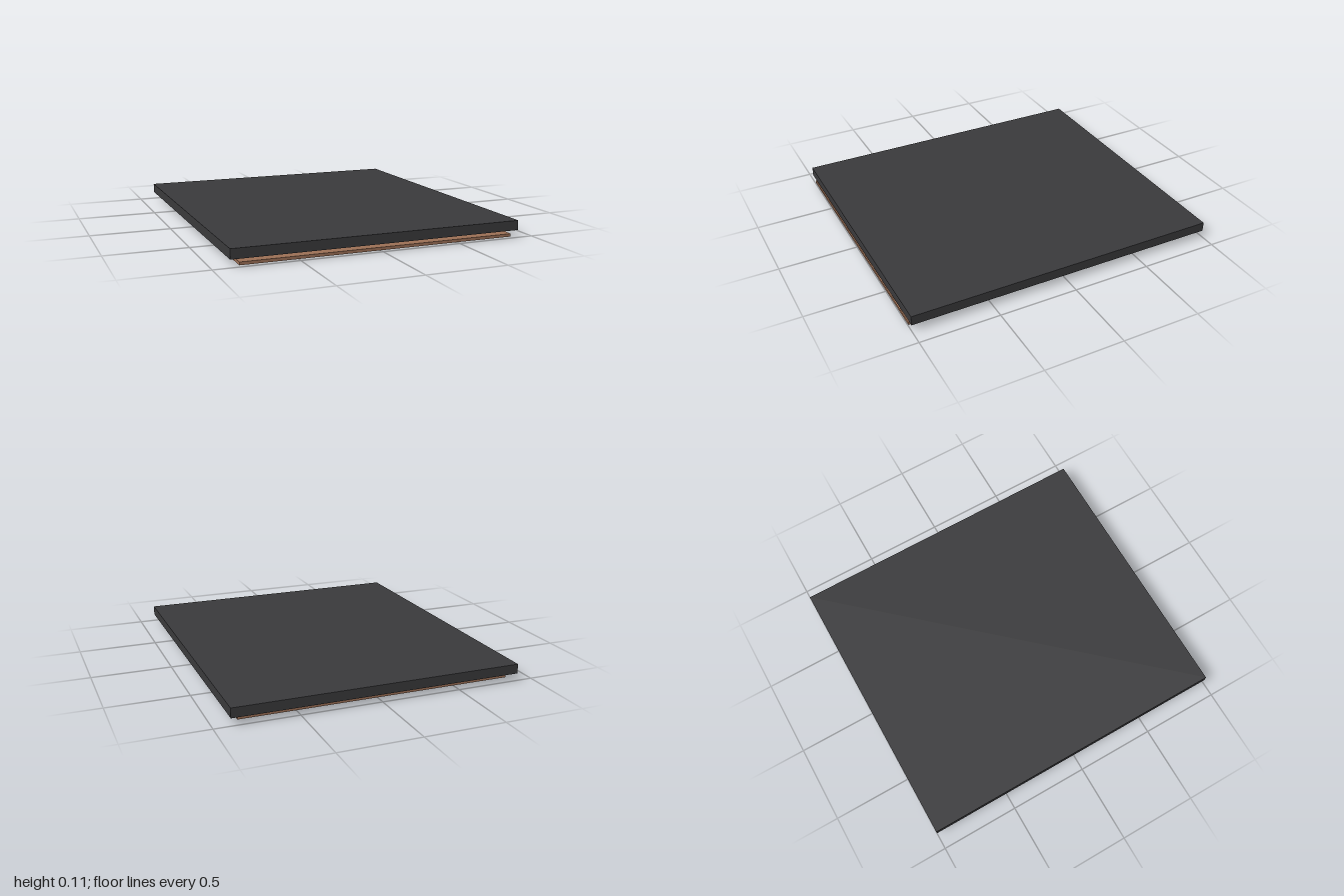
import * as THREE from 'three';

const material = (color) => new THREE.MeshStandardMaterial({ color });

function addMesh(parent, name, geometry, mat, x = 0, y = 0, z = 0) {
  const mesh = new THREE.Mesh(geometry, mat);
  mesh.name = name;
  mesh.position.set(x, y, z);
  parent.add(mesh);
  return mesh;
}

// Rectangle outline centred on the origin
function rectangle(PathType, w, d) {
  return new PathType([
    [-w / 2, -d / 2], [w / 2, -d / 2], [w / 2, d / 2], [-w / 2, d / 2],
  ].map(([x, y]) => new THREE.Vector2(x, y)));
}

export function createModel() {
  const model = new THREE.Group();
  model.name = 'ceilingPanel';
  const dark = material(0x3a3a3c);
  const wood = material(0x9c7056);
  const diffuserWhite = material(0xe0d8c8);
  const metal = material(0x77797c);
  const lensGrey = material(0xa8acb0);

  // Upper slab
  addMesh(model, 'ceilingSlab', new THREE.BoxGeometry(1.8, 0.06, 2), dark, 0, 0.076, 0);

  // Hanging wooden board with a rectangular opening, flush with the slab's front edge
  const board = new THREE.Group();
  board.name = 'suspendedBoard';
  board.position.z = 0.025;
  model.add(board);

  const outline = rectangle(THREE.Shape, 1.7, 1.95);
  outline.holes.push(rectangle(THREE.Path, 1.47, 1.12));
  const frame = new THREE.ExtrudeGeometry(outline, { depth: 0.018, bevelEnabled: false });
  frame.rotateX(Math.PI / 2);
  addMesh(board, 'woodFrame', frame, wood, 0, 0.028, 0);

  // Light diffuser recessed in the opening
  addMesh(board, 'diffuser', new THREE.BoxGeometry(1.47, 0.004, 1.12), diffuserWhite, 0, 0.025, 0);

  // Four round downlights: a rim with a recessed lens
  const rimProfile = [[0.042, 0.01], [0.046, 0.002], [0.05, 0], [0.062, 0], [0.066, 0.003], [0.066, 0.01]];
  const rim = new THREE.LatheGeometry(rimProfile.map(([r, y]) => new THREE.Vector2(r, y)), 32);
  const lens = new THREE.CylinderGeometry(0.043, 0.043, 0.004, 32);
  const rimMetal = metal.clone();
  rimMetal.side = THREE.DoubleSide;
  for (const sx of [-1, 1]) {
    for (const sz of [-1, 1]) {
      const light = new THREE.Group();
      light.name = `${sz > 0 ? 'front' : 'back'}${sx > 0 ? 'Left' : 'Right'}Downlight`;
      light.position.set(sx * 0.677, 0, sz * 0.683);
      addMesh(light, 'rim', rim, rimMetal);
      addMesh(light, 'lens', lens, lensGrey, 0, 0.008, 0);
      board.add(light);
    }
  }
  return model;
}
